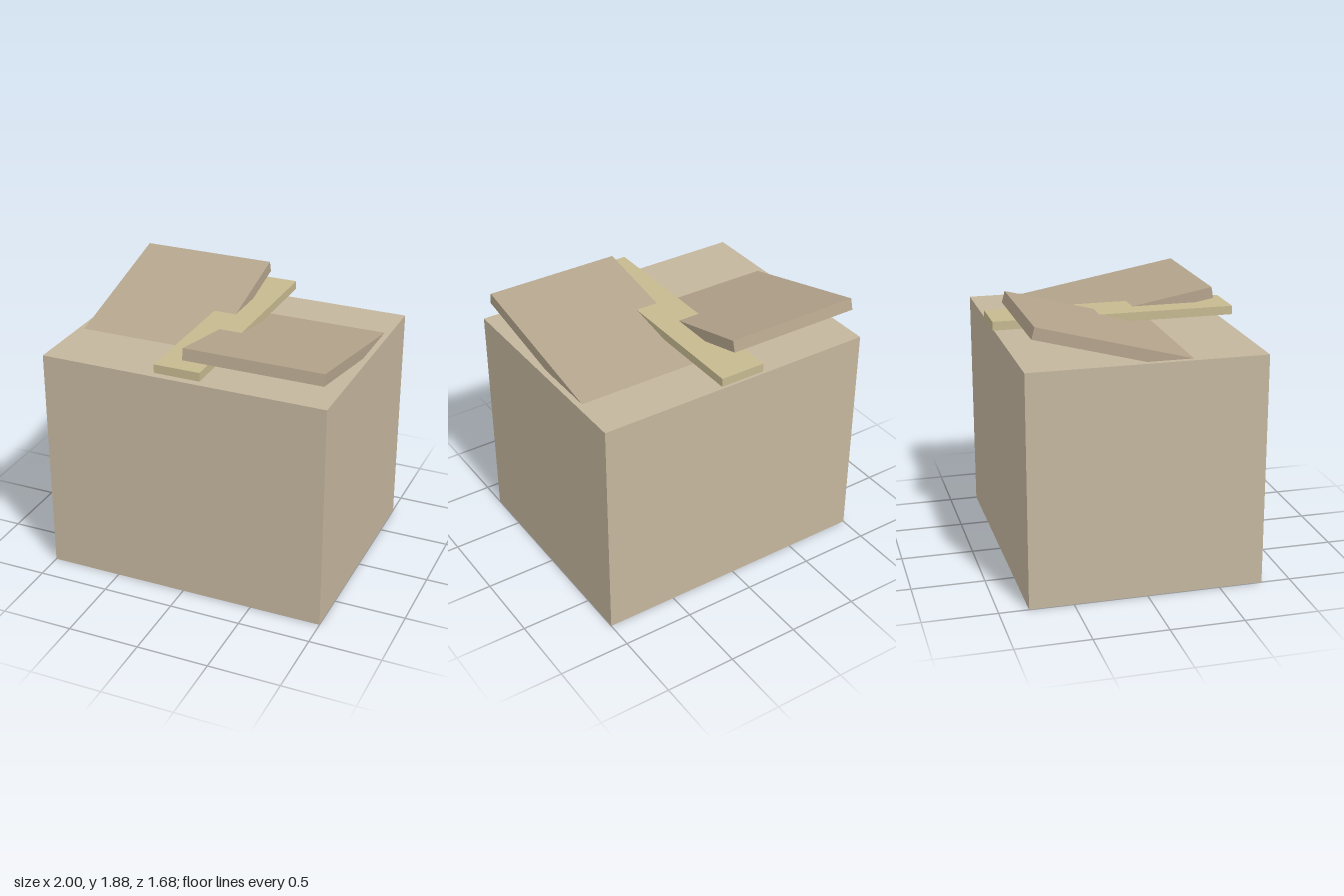
import * as THREE from 'three';

export function createModel() {
  const group = new THREE.Group();
  const paint = (color) => new THREE.MeshStandardMaterial({ color });
  const card = paint(0xc4b69e);
  const flapCard = paint(0xb4a48c);
  const tapeMaterial = paint(0xc6b990);

  function addBox(name, size, position, material, tilt = 0) {
    const mesh = new THREE.Mesh(new THREE.BoxGeometry(...size), material);
    mesh.name = name;
    mesh.position.set(...position);
    mesh.rotation.x = THREE.MathUtils.degToRad(tilt);
    group.add(mesh);
  }

  // Carton body
  addBox('cartonBody', [2, 1.6, 1.6], [0, 0.8, 0], card);

  // Lid flaps: the left one lifts at the front, the right one at the back
  addBox('leftFlap', [0.96, 0.08, 1.52], [0.48, 1.64, 0], flapCard, -10);
  addBox('rightFlap', [0.96, 0.08, 1.52], [-0.48, 1.64, 0], flapCard, 15);

  // Tape strip along the middle seam
  addBox('tapeStrip', [0.32, 0.06, 1.68], [0, 1.68, 0], tapeMaterial);

  return group;
}
